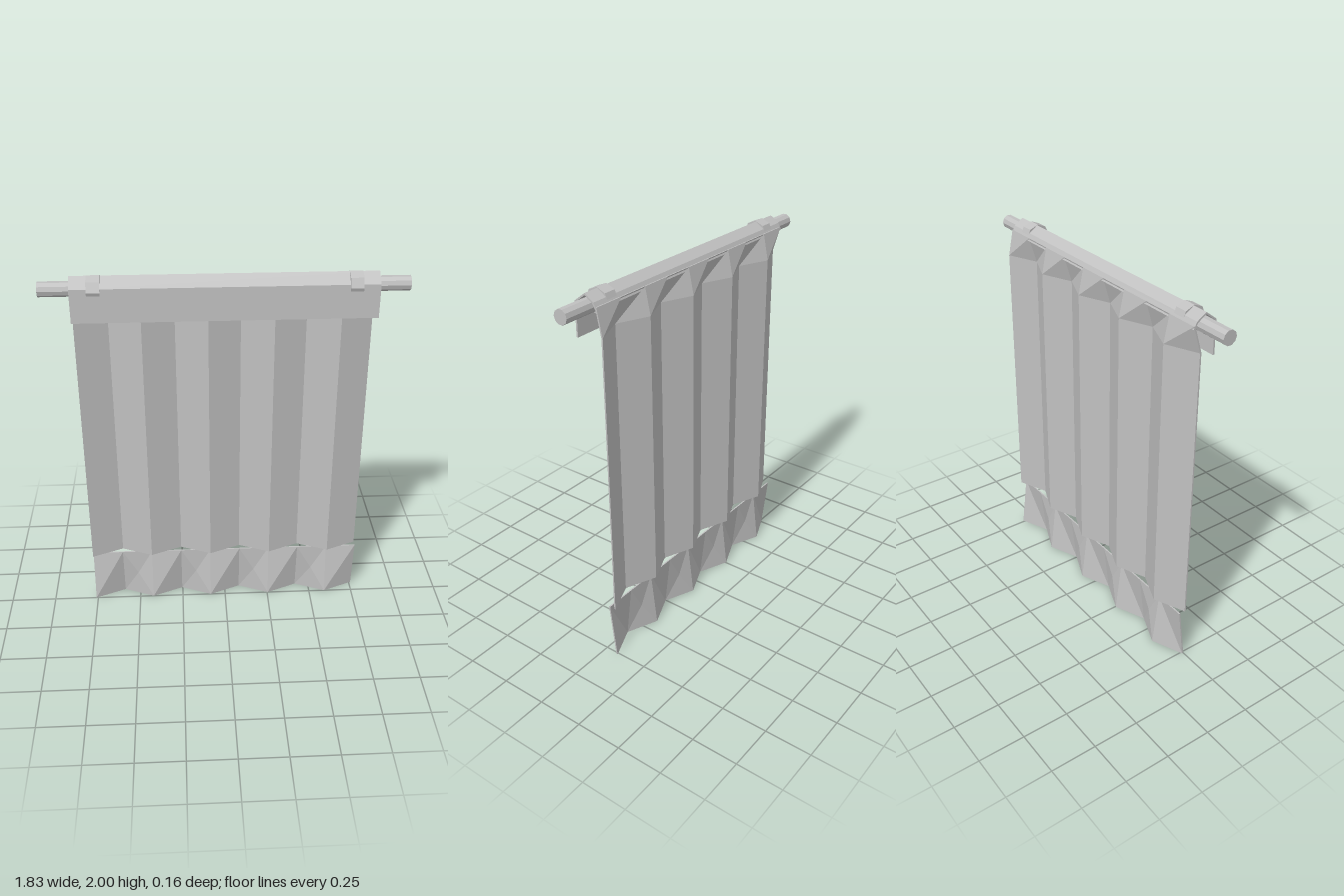
import * as THREE from 'three';

const W = 0.76, PLEATS = 9, T = 0.008;
const ROD_Y = 1.934, ROD_Z = 0.018;

export function createModel() {
  const group = new THREE.Group();
  const grey = new THREE.MeshStandardMaterial({ color: 0xc0c0c0, flatShading: true, side: THREE.DoubleSide });
  grey.name = 'light grey';

  const add = (name, geometry) => {
    const mesh = new THREE.Mesh(geometry, grey);
    mesh.name = name;
    group.add(mesh);
    return mesh;
  };

  // Front surface depth of each fold line
  const fold = (i) => (i % 2 ? -0.08 + T : 0);
  const x = (i) => -W + (2 * W * i) / PLEATS;

  // Thin pleated cloth between two heights; split picks how a panel is creased
  function cloth(yBottom, yTop, zBottom, zTop, split) {
    const pos = [];
    const tri = (a, b, c) => pos.push(...a, ...b, ...c);
    const quad = (a, b, c, d) => { tri(a, b, c); tri(a, c, d); };
    const lo = (i, dz) => [x(i), yBottom, zBottom(i) - dz];
    const hi = (i, dz) => [x(i), yTop, zTop(i) - dz];
    for (let i = 0; i < PLEATS; i++) {
      for (const dz of [0, T]) {
        let loop = [lo(i, dz), lo(i + 1, dz), hi(i + 1, dz), hi(i, dz)];
        const kind = split(i);
        if (kind === 'fan') {
          const mid = [0, 1, 2].map((k) => loop.reduce((s, p) => s + p[k], 0) / 4);
          for (let k = 0; k < 4; k++) {
            const a = loop[k], b = loop[(k + 1) % 4];
            dz ? tri(b, a, mid) : tri(a, b, mid);
          }
        } else {
          if (kind === 'falling') loop = [loop[1], loop[2], loop[3], loop[0]];
          const [a, b, c, d] = loop;
          dz ? quad(a, d, c, b) : quad(a, b, c, d);
        }
      }
      // Top and bottom edges of the panel
      quad(hi(i, 0), hi(i + 1, 0), hi(i + 1, T), hi(i, T));
      quad(lo(i, T), lo(i + 1, T), lo(i + 1, 0), lo(i, 0));
    }
    // Side edges
    quad(lo(0, T), lo(0, 0), hi(0, 0), hi(0, T));
    quad(lo(PLEATS, 0), lo(PLEATS, T), hi(PLEATS, T), hi(PLEATS, 0));
    const g = new THREE.BufferGeometry();
    g.setAttribute('position', new THREE.Float32BufferAttribute(pos, 3));
    g.computeVertexNormals();
    return g;
  }

  // Pleated curtain, gathered heading and flared hem
  add('curtain', cloth(0.3, 1.805, fold, fold, () => 'rising'));
  add('heading', cloth(1.805, 1.945, fold, () => -0.043, () => 'falling'));
  add('hem', cloth(0, 0.3, fold, () => -0.036, (i) => (i % 2 ? 'fan' : 'rising')));

  // Flap folded over the rod, drawn as a (z, y) profile and run along x
  const outer = [[0.077, 1.775], [0.077, 1.95], [0.015, 1.998], [-0.035, 1.965], [-0.053, 1.93]];
  const inner = [[-0.044, 1.93], [-0.029, 1.958], [0.015, 1.988], [0.068, 1.946], [0.068, 1.775]];
  const profile = new THREE.Shape([...outer, ...inner].map(([z, y]) => new THREE.Vector2(-z, y)));
  const flap = new THREE.ExtrudeGeometry(profile, { depth: 2 * W, bevelEnabled: false });
  flap.rotateY(Math.PI / 2).translate(-W, 0, 0);
  add('foldedFlap', flap);

  // Rod
  const rod = new THREE.CylinderGeometry(0.038, 0.038, 1.83, 10);
  rod.rotateZ(Math.PI / 2);
  add('rod', rod).position.set(0, ROD_Y, ROD_Z);

  // Eight-sided rings near both ends
  for (const side of [-1, 1]) {
    const h = 0.033;
    const section = [[0.037, -h], [0.067, -h], [0.067, h], [0.037, h], [0.037, -h]];
    const ring = new THREE.LatheGeometry(section.map(([r, y]) => new THREE.Vector2(r, y)), 8);
    ring.rotateZ(Math.PI / 2);
    add(side > 0 ? 'leftRing' : 'rightRing', ring).position.set(side * 0.643, ROD_Y, ROD_Z);
  }

  return group;
}
